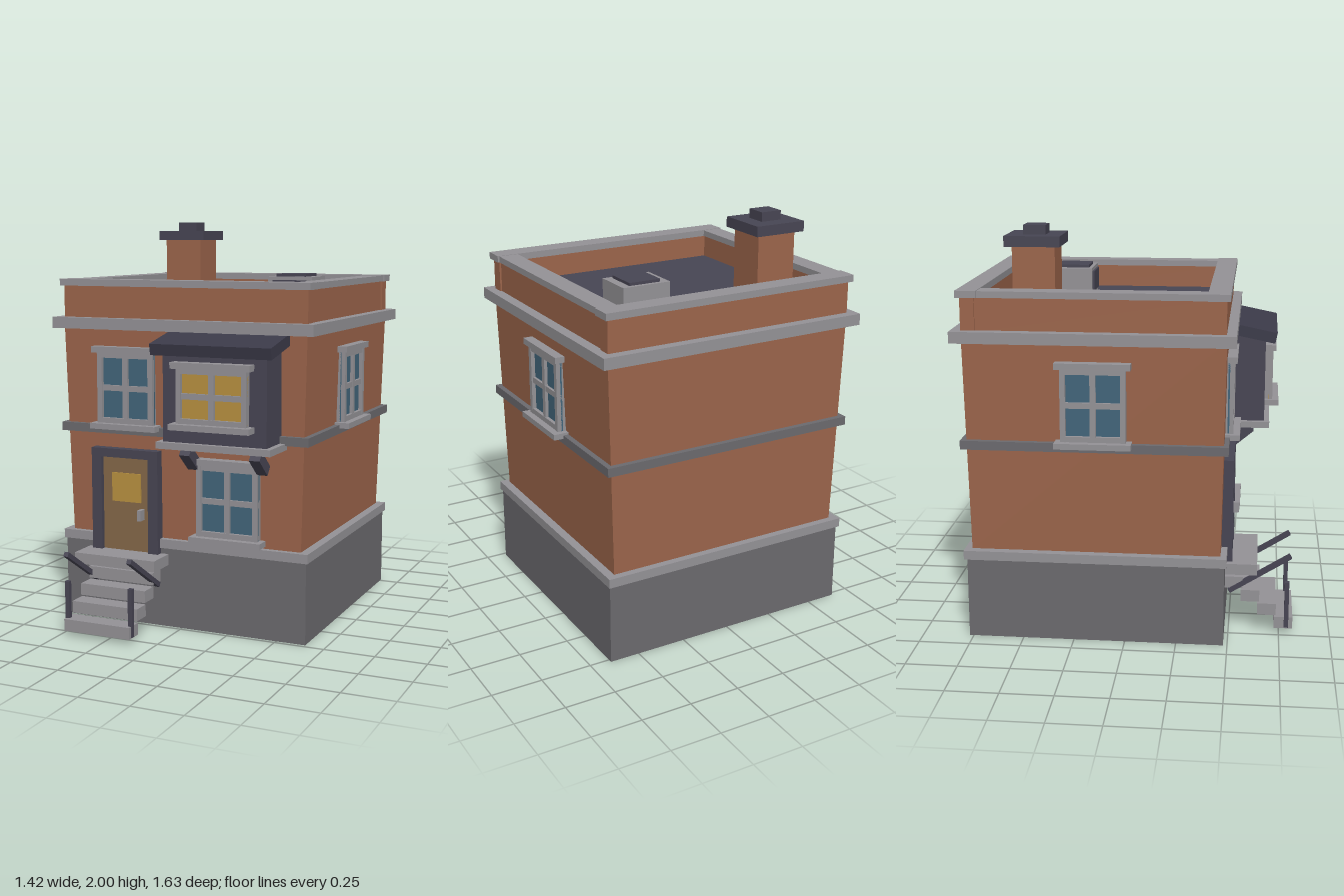
import * as THREE from 'three';

const mat = (name, color) => {
  const m = new THREE.MeshStandardMaterial({ color });
  m.name = name;
  return m;
};

export function createModel() {
  const brick = mat('brick', 0x9c654b);
  const trim = mat('pale stone', 0x949296);
  const stone = mat('dark stone', 0x6b6a6e);
  const dark = mat('charcoal', 0x474553);
  const slate = mat('slate', 0x3b3a49);
  const glass = mat('blue glass', 0x42657a);
  const glow = mat('lit glass', 0xb89040);
  const wood = mat('door wood', 0x846849);

  const model = new THREE.Group();
  model.name = 'townHouse';

  // Box given by its limits on each axis
  function box(parent, name, material, [x0, x1], [y0, y1], [z0, z1]) {
    const mesh = new THREE.Mesh(new THREE.BoxGeometry(x1 - x0, y1 - y0, z1 - z0), material);
    mesh.position.set((x0 + x1) / 2, (y0 + y1) / 2, (z0 + z1) / 2);
    mesh.name = name;
    parent.add(mesh);
    return mesh;
  }
  // Box given by centre, size and a tilt about x
  function tilted(name, material, size, pos, tilt) {
    const mesh = new THREE.Mesh(new THREE.BoxGeometry(...size), material);
    mesh.position.set(...pos);
    mesh.rotation.x = tilt;
    mesh.name = name;
    model.add(mesh);
  }

  // Foundation and horizontal bands
  box(model, 'foundation', stone, [-0.65, 0.65], [0, 0.4], [-0.77, 0.48]);
  box(model, 'foundationLedge', trim, [-0.66, 0.66], [0.4, 0.445], [-0.785, 0.49]);
  box(model, 'middleBand', stone, [-0.66, 0.66], [0.957, 1.0], [-0.785, 0.492]);
  box(model, 'cornice', trim, [-0.69, 0.69], [1.475, 1.53], [-0.815, 0.52]);

  // Brick walls, flaring slightly towards the top
  const walls = box(model, 'walls', brick, [-0.617, 0.617], [0.44, 1.5], [-0.75, 0.46]);
  const p = walls.geometry.attributes.position;
  for (let i = 0; i < p.count; i++) {
    if (p.getY(i) > 0) p.setXYZ(i, p.getX(i) * 1.047, p.getY(i), p.getZ(i) * 1.026);
  }
  walls.geometry.computeVertexNormals();

  // Roof deck, parapet and coping
  box(model, 'roofDeck', dark, [-0.6, 0.6], [1.5, 1.57], [-0.73, 0.43]);
  box(model, 'frontParapet', brick, [-0.646, 0.646], [1.52, 1.685], [0.405, 0.473]);
  box(model, 'backParapet', brick, [-0.646, 0.646], [1.52, 1.685], [-0.767, -0.7]);
  box(model, 'frontCoping', trim, [-0.662, 0.662], [1.685, 1.718], [0.385, 0.49]);
  box(model, 'backCoping', trim, [-0.662, 0.662], [1.685, 1.718], [-0.785, -0.685]);
  for (const s of [-1, 1]) {
    const span = (a, b) => (s > 0 ? [a, b] : [-b, -a]);
    box(model, 'sideParapet', brick, span(0.57, 0.637), [1.52, 1.685], [-0.7, 0.405]);
    box(model, 'sideCoping', trim, span(0.553, 0.653), [1.685, 1.716], [-0.685, 0.385]);
  }

  // Chimney
  box(model, 'chimneyStack', brick, [-0.48, -0.275], [1.56, 1.905], [-0.547, -0.343]);
  box(model, 'chimneyCap', dark, [-0.51, -0.245], [1.905, 1.955], [-0.58, -0.315]);
  box(model, 'chimneyPot', dark, [-0.43, -0.323], [1.955, 2], [-0.5, -0.393]);

  // Roof vent unit
  box(model, 'ventBox', trim, [0.155, 0.402], [1.56, 1.718], [-0.46, -0.255]);
  box(model, 'ventLid', dark, [0.197, 0.36], [1.718, 1.732], [-0.44, -0.275]);
  box(model, 'ventGrille', dark, [0.185, 0.37], [1.595, 1.7], [-0.255, -0.246]);

  // Window facing +z: frame, cross bars, header and sill around a pane
  function addWindow(name, pane, w, h, border, pos, turn = 0) {
    const g = new THREE.Group();
    g.name = name;
    const x = w / 2, y = h / 2, back = -0.02, out = 0.04;
    box(g, 'pane', pane, [-x, x], [-y, y], [0.012, 0.02]);
    for (const s of [-1, 1]) {
      const cx = s * (x - border / 2), cy = s * (y - border / 2);
      box(g, 'frameSide', trim, [cx - border / 2, cx + border / 2], [-y, y], [back, out]);
      box(g, 'frameRail', trim, [-x, x], [cy - border / 2, cy + border / 2], [back, out - 0.002]);
    }
    box(g, 'uprightBar', trim, [-0.014, 0.014], [-y, y], [0.01, 0.036]);
    box(g, 'crossBar', trim, [-x, x], [-0.014, 0.014], [0.01, 0.033]);
    box(g, 'header', trim, [-x - 0.024, x + 0.024], [y, y + 0.03], [back, 0.055]);
    box(g, 'sill', trim, [-x - 0.027, x + 0.027], [-y - 0.028, -y], [back, 0.072]);
    g.position.set(...pos);
    g.rotation.y = turn;
    model.add(g);
  }
  addWindow('upperWindow', glass, 0.305, 0.35, 0.026, [-0.295, 1.186, 0.467]);
  addWindow('lowerWindow', glass, 0.32, 0.352, 0.026, [0.25, 0.66, 0.466]);
  addWindow('leftSideWindow', glass, 0.31, 0.35, 0.026, [0.636, 1.186, -0.145], Math.PI / 2);
  addWindow('rightSideWindow', glass, 0.31, 0.35, 0.026, [-0.636, 1.186, -0.145], -Math.PI / 2);
  addWindow('bayWindow', glow, 0.355, 0.258, 0.024, [0.253, 1.192, 0.655]);

  // Bay with its sloping roof, floor slab and brackets
  box(model, 'bayBody', dark, [-0.01, 0.517], [0.965, 1.41], [0.44, 0.655]);
  box(model, 'bayFloor', trim, [-0.038, 0.545], [0.935, 0.967], [0.44, 0.682]);
  tilted('bayRoof', slate, [0.61, 0.055, 0.27], [0.253, 1.433, 0.575], 0.2);
  for (const x of [0.073, 0.434]) {
    tilted('bayBracket', dark, [0.054, 0.053, 0.132], [x, 0.873, 0.535], -0.7);
  }

  // Front door
  for (const x of [-0.48, -0.168]) {
    box(model, 'doorJamb', dark, [x, x + 0.054], [0.37, 0.885], [0.44, 0.515]);
  }
  box(model, 'doorLintel', dark, [-0.43, -0.165], [0.842, 0.885], [0.44, 0.515]);
  box(model, 'door', wood, [-0.427, -0.167], [0.37, 0.843], [0.44, 0.492]);
  box(model, 'doorLight', glow, [-0.375, -0.215], [0.618, 0.763], [0.492, 0.498]);
  box(model, 'doorHandle', trim, [-0.217, -0.197], [0.535, 0.588], [0.492, 0.538]);

  // Landing and steps
  box(model, 'landing', trim, [-0.515, -0.073], [0.315, 0.37], [0.46, 0.637]);
  for (let i = 0; i < 4; i++) {
    const y = 0.025 + i * 0.068, z = 0.725 - i * 0.083;
    box(model, 'step', trim, [-0.474, -0.118], [y, y + 0.059], [z, z + 0.092]);
  }

  // Handrails and posts
  for (const x of [-0.467, -0.123]) {
    box(model, 'railPost', dark, [x - 0.011, x + 0.011], [0.03, 0.268], [0.775, 0.797]);
    tilted('handrail', dark, [0.024, 0.024, 0.355], [x, 0.309, 0.65], -0.563);
  }
  return model;
}
